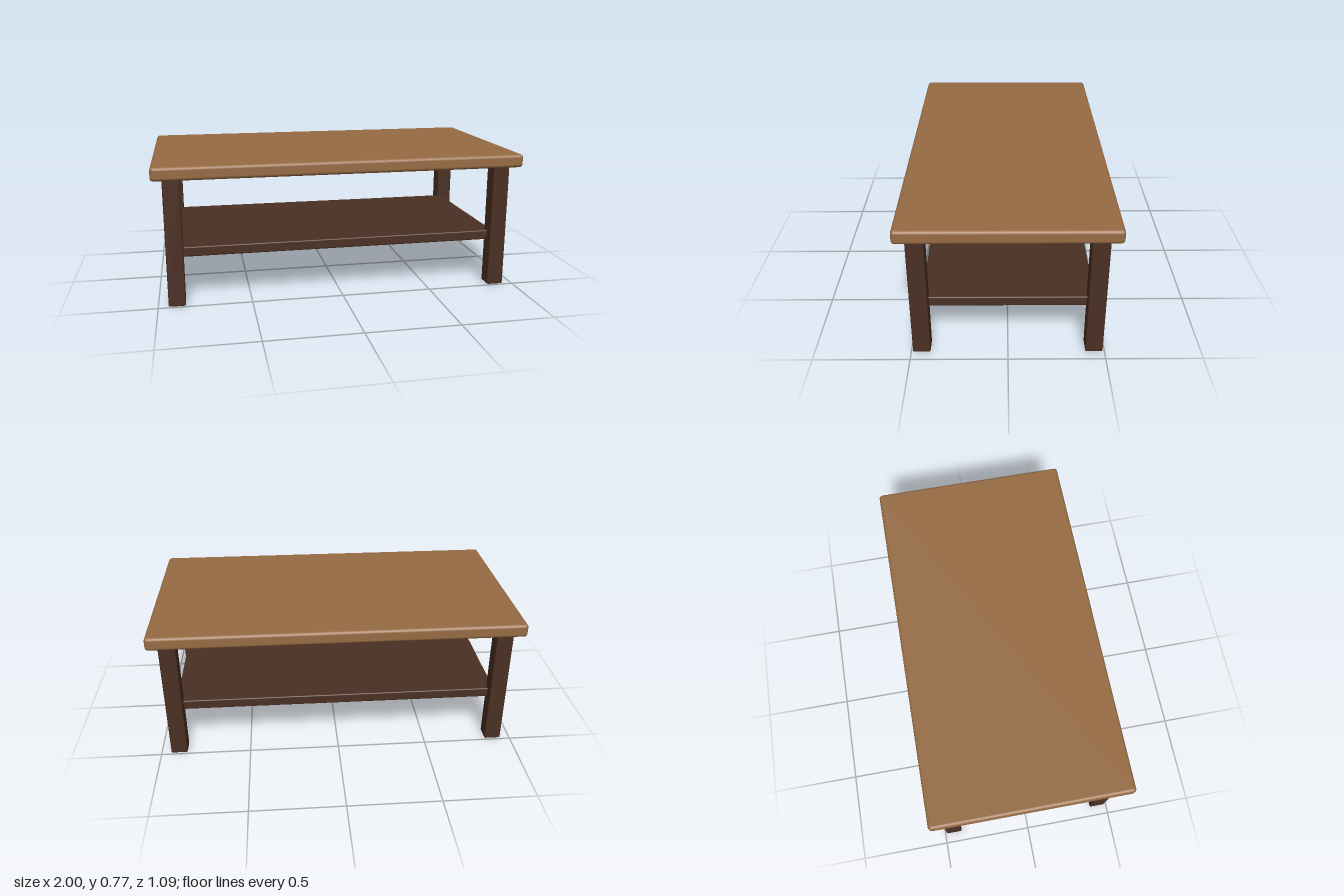
import * as THREE from 'three';
import { RoundedBoxGeometry } from 'three/addons/geometries/RoundedBoxGeometry.js';

const UNIT = 2 / 110; // the table is laid out on a 110 x 60 x 42 plan

export function createModel() {
  const table = new THREE.Group();
  table.name = 'coffeeTable';
  const lightWood = new THREE.MeshStandardMaterial({ color: 0x966b43 });
  const darkWood = new THREE.MeshStandardMaterial({ color: 0x4a2f22 });

  // A softly rounded board or post resting at height y
  function addBoard(name, material, [w, h, d], radius, x, y, z) {
    const geometry = new RoundedBoxGeometry(w * UNIT, h * UNIT, d * UNIT, 4, radius * UNIT);
    const mesh = new THREE.Mesh(geometry, material);
    mesh.name = name;
    mesh.position.set(x * UNIT, (y + h / 2) * UNIT, z * UNIT);
    table.add(mesh);
  }

  // Top and lower shelf
  addBoard('tableTop', lightWood, [110, 4, 60], 1, 0, 38.1, 0);
  addBoard('shelf', darkWood, [98, 3, 48], 0.4, 0, 14.1, 0);

  // Four square legs, set in from the edges of the top
  for (const [sideX, nameX] of [[1, 'Left'], [-1, 'Right']]) {
    for (const [sideZ, nameZ] of [[1, 'front'], [-1, 'back']]) {
      addBoard(`${nameZ}${nameX}Leg`, darkWood, [5, 38.1, 5], 0.4, sideX * 49.5, 0, sideZ * 24.5);
    }
  }
  return table;
}
